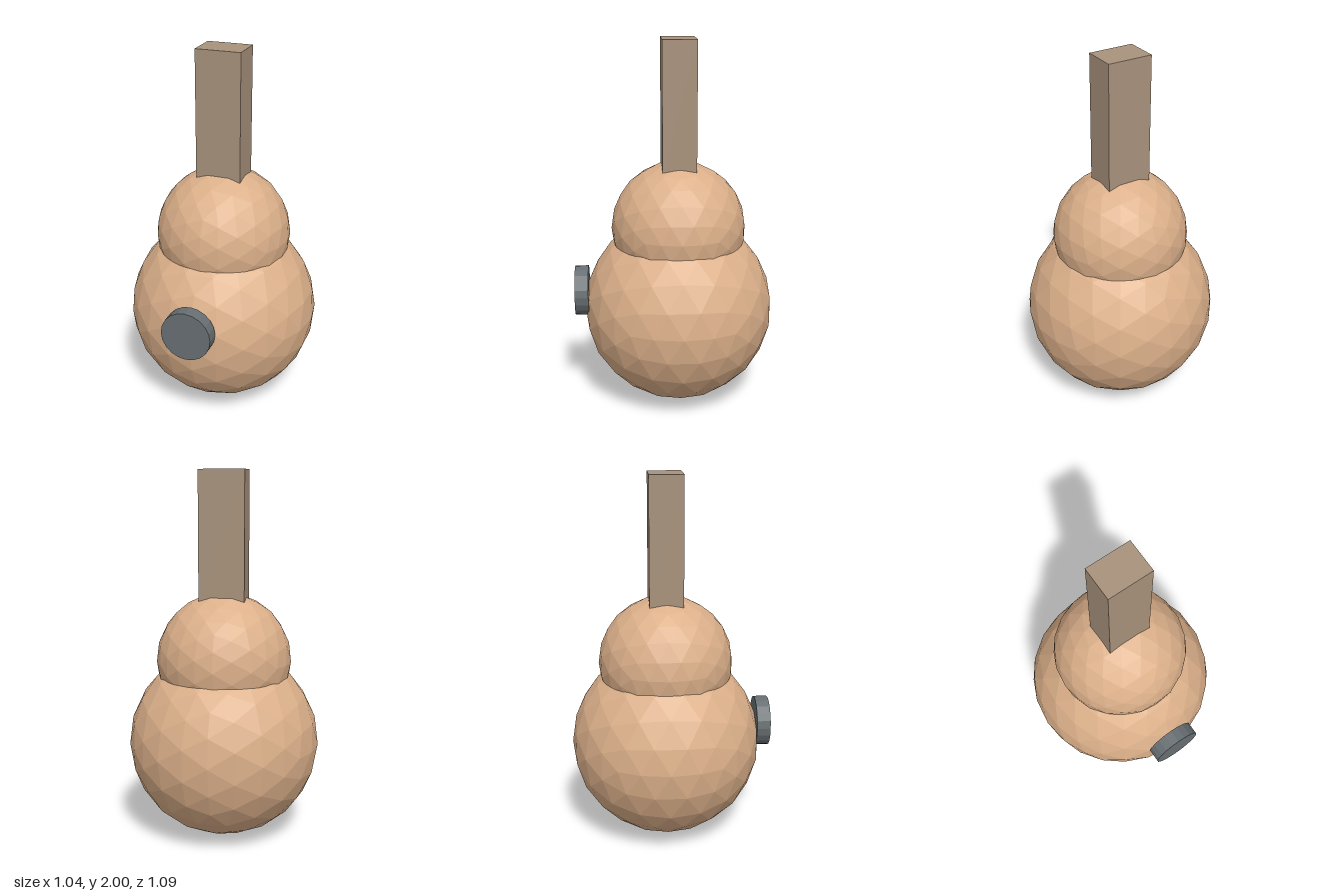
import * as THREE from 'three';

export function createModel() {
  const group = new THREE.Group();
  const material = (name, color) => {
    const m = new THREE.MeshStandardMaterial({ color, flatShading: true });
    m.name = name;
    return m;
  };
  const tan = material('tan', 0xdcb08a);
  const brown = material('dull brown', 0xa8927c);
  const grey = material('slate grey', 0x686f72);

  const add = (name, geometry, mat, x, y, z) => {
    const mesh = new THREE.Mesh(geometry, mat);
    mesh.name = name;
    mesh.position.set(x, y, z);
    group.add(mesh);
    return mesh;
  };
  const axisZ = -0.026;

  // Two faceted balls, stacked and overlapping
  add('body', new THREE.IcosahedronGeometry(0.521, 3), tan, 0, 0.522, axisZ);
  add('upperBody', new THREE.IcosahedronGeometry(0.367, 3), tan, 0, 0.979, axisZ);

  // Upright neck, sunk into the upper ball
  add('neck', new THREE.BoxGeometry(0.246, 0.74, 0.183), brown, 0, 1.63, axisZ);

  // Round disc on the front of the body
  const disc = add('frontDisc', new THREE.CylinderGeometry(0.137, 0.137, 0.074, 20), grey, 0, 0.62, 0.51);
  disc.rotation.x = Math.PI / 2;

  return group;
}
